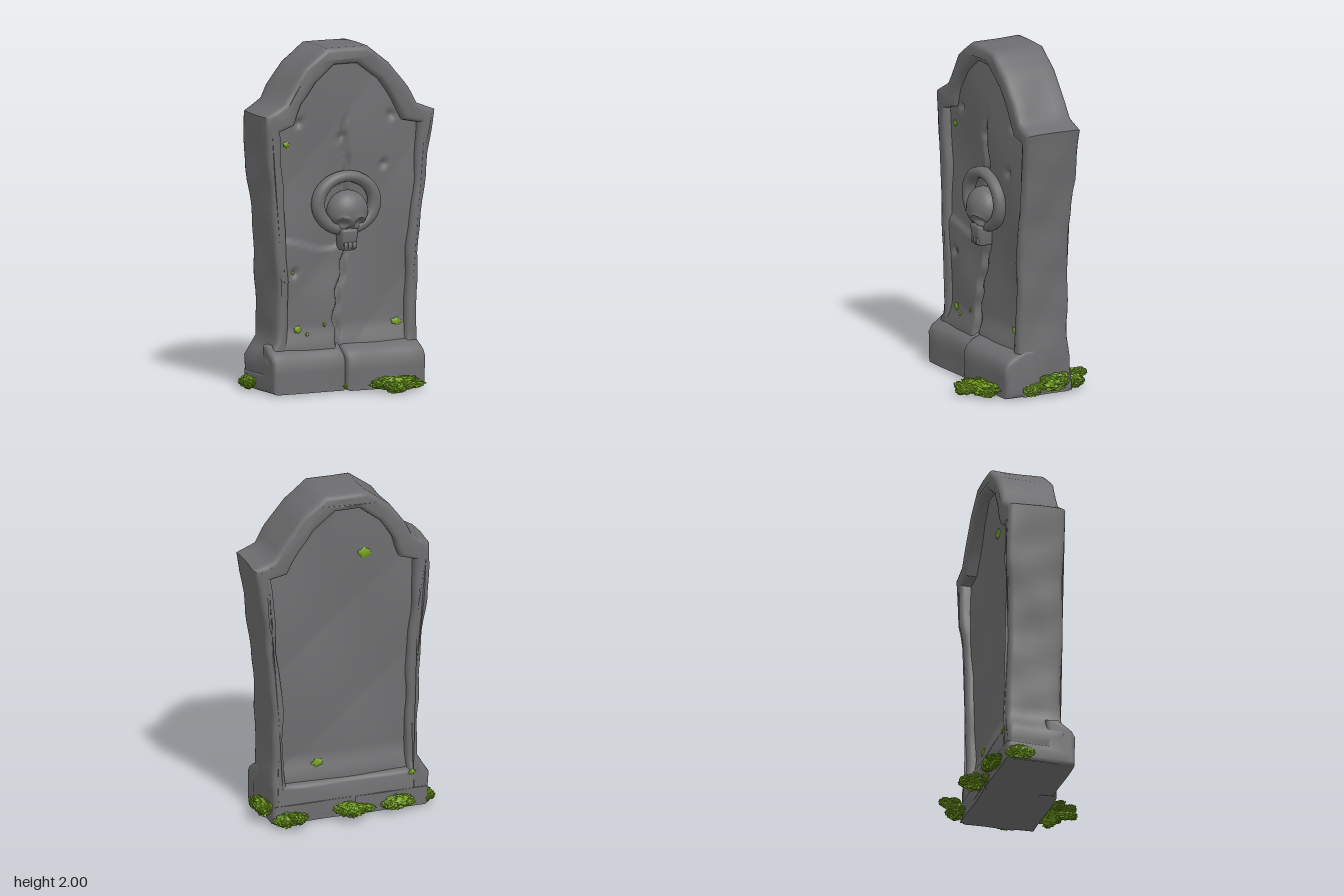
import * as THREE from 'three';
import { toCreasedNormals, mergeVertices, mergeGeometries } from 'three/addons/utils/BufferGeometryUtils.js';
import { RoundedBoxGeometry } from 'three/addons/geometries/RoundedBoxGeometry.js';

const stone = new THREE.MeshStandardMaterial({ color: 0x6e6e70 });
stone.name = 'grey stone';
const moss = new THREE.MeshStandardMaterial({ color: 0x74a01f });
moss.name = 'green moss';

const { smoothstep, lerp } = THREE.MathUtils;
const bump = (d, w) => Math.exp(-(d * d) / (w * w));

// Move every vertex by a rule
function warp(geo, rule) {
  const p = geo.attributes.position, v = new THREE.Vector3();
  for (let i = 0; i < p.count; i++) {
    rule(v.fromBufferAttribute(p, i));
    p.setXYZ(i, v.x, v.y, v.z);
  }
  return geo;
}

function mesh(name, geo, mat, crease = 0.7) {
  const m = new THREE.Mesh(toCreasedNormals(geo, crease), mat);
  m.name = name;
  return m;
}

// Gentle hand-cut unevenness
function weather(v, a = 0.005) {
  const { x, y, z } = v;
  v.x += a * Math.sin(11 * y + 17 * z) + a * 0.6 * Math.sin(23 * y - 9 * z);
  v.z += a * 0.8 * Math.sin(13 * x + 9 * y);
}

// Closed outline split into short edges
function divided(pts, step = 0.07) {
  const out = [];
  pts.forEach(([x, y], i) => {
    const [x2, y2] = pts[(i + 1) % pts.length];
    const n = Math.max(1, Math.round(Math.hypot(x2 - x, y2 - y) / step));
    for (let k = 0; k < n; k++) out.push(new THREE.Vector2(lerp(x, x2, k / n), lerp(y, y2, k / n)));
  });
  return out;
}

// Piecewise linear lookup in rows of [key, value...]
function sample(rows, key, col) {
  let i = 0;
  while (i < rows.length - 2 && key > rows[i + 1][0]) i++;
  const a = rows[i], b = rows[i + 1];
  return lerp(a[col], b[col], THREE.MathUtils.clamp((key - a[0]) / (b[0] - a[0]), 0, 1));
}

const OUTLINE = [[-0.49, 0.01], [0.45, 0.01], [0.455, 0.2], [0.44, 0.4], [0.45, 0.7], [0.47, 1.0], [0.52, 1.35],
  [0.56, 1.6], [0.44, 1.645], [0.38, 1.745], [0.27, 1.89], [0.13, 1.998], [-0.13, 1.998], [-0.27, 1.895],
  [-0.37, 1.76], [-0.41, 1.69], [-0.525, 1.62], [-0.51, 1.4], [-0.49, 1.15], [-0.46, 0.8], [-0.45, 0.5],
  [-0.45, 0.31], [-0.51, 0.2]];
const OPENING = [[-0.38, 0.24], [-0.385, 0.8], [-0.41, 1.2], [-0.43, 1.53], [-0.34, 1.56], [-0.3, 1.68], [-0.21, 1.8],
  [-0.08, 1.9], [0.07, 1.9], [0.2, 1.8], [0.29, 1.67], [0.36, 1.55], [0.46, 1.53], [0.43, 1.2], [0.385, 0.8], [0.37, 0.24]];
const PANEL_EDGES = [[0.18, -0.42, 0.41], [0.8, -0.42, 0.42], [1.54, -0.46, 0.49], [1.59, -0.45, 0.46],
  [1.64, -0.37, 0.39], [1.75, -0.32, 0.33], [1.94, -0.16, 0.16]];
const CRACK = [[0.25, -0.06], [0.4, -0.075], [0.55, -0.06], [0.65, -0.035], [0.8, 0], [1.2, -0.01],
  [1.35, 0.01], [1.45, -0.02], [1.6, 0]];

// Depth of the sunken faces
function frontZ(x, y) {
  let z = 0.064 + 0.008 * Math.sin(6 * x + 5 * y) + 0.007 * Math.abs(Math.sin(5 * x - 4.5 * y + 1));
  const cx = sample(CRACK, y, 1) + 0.008 * Math.sin(40 * y);
  z += 0.016 * smoothstep(0.87 - y + 0.03 * Math.sin(12 * x), 0, 0.025) * smoothstep(cx - x, -0.01, 0.02);
  z -= 0.012 * bump(Math.hypot(x + 0.14, y - 0.72), 0.13);
  z -= 0.028 * bump(x - cx, 0.014) * (1 - smoothstep(y, 1.45, 1.65));
  z += 0.03 * (1 - smoothstep(y, 0.24, 0.4));
  for (const [dx, dy] of [[-0.3, 1.57], [0.29, 1.58], [-0.03, 1.47], [-0.34, 0.7], [0.24, 1.3]])
    z -= 0.025 * bump(Math.hypot(x - dx, y - dy), 0.022);
  return z;
}
const backZ = (x, y) => -0.165 + 0.008 * Math.sin(7 * x - 4 * y) - 0.008 * Math.abs(Math.sin(4 * x + 5 * y))
  - 0.03 * (1 - smoothstep(y, 0.24, 0.4));

function panel(name, depth, back) {
  const geo = new THREE.PlaneGeometry(1, 1, 64, 110);
  if (back) geo.rotateY(Math.PI);
  warp(geo, v => {
    v.y = lerp(0.18, 1.94, v.y + 0.5);
    v.x = lerp(sample(PANEL_EDGES, v.y, 1), sample(PANEL_EDGES, v.y, 2), v.x + 0.5);
    v.z = depth(v.x, v.y);
  });
  geo.computeVertexNormals();
  const m = new THREE.Mesh(geo, stone);
  m.name = name;
  return m;
}

// Rounded border running round both sunken faces
function frame() {
  const shape = new THREE.Shape(divided(OUTLINE));
  shape.holes.push(new THREE.Path(divided(OPENING)));
  const b = 0.028;
  const geo = new THREE.ExtrudeGeometry(shape, { depth: 0.345 - 2 * b, steps: 5, bevelSize: b, bevelThickness: b,
    bevelOffset: -b, bevelSegments: 3 });
  geo.translate(0, 0, -0.235 + b);
  warp(geo, v => {
    if (v.z < -0.1) v.z += 0.02 * smoothstep(v.y, 0.2, 0.35) * (1 - smoothstep(v.y, 1.15, 1.3));
    weather(v);
  });
  return mesh('frame', geo, stone, 0.8);
}

// Half of the stepped foot, from x0 to x1, reaching forward to zf
function plinth(name, x0, x1, zf) {
  const b = 0.022;
  const shape = new THREE.Shape(divided([[-0.238, 0.01], [zf, 0.01], [zf, 0.19], [zf - 0.02, 0.225],
    [zf - 0.055, 0.25], [0.07, 0.285], [0.0, 0.285], [0.0, 0.12], [-0.238, 0.12]]));
  const geo = new THREE.ExtrudeGeometry(shape, { depth: x1 - x0 - 2 * b, steps: 6, bevelSize: b, bevelThickness: b,
    bevelOffset: -b, bevelSegments: 3 });
  geo.rotateY(-Math.PI / 2).translate(x1 - b, 0, 0);
  warp(geo, v => weather(v, 0.004));
  return mesh(name, geo, stone, 0.8);
}

// Carved skull inside a raised hood
function skull() {
  const g = new THREE.Group();
  g.name = 'skullCarving';
  const hood = new THREE.TorusGeometry(0.18, 0.04, 12, 48);
  warp(hood, v => { v.y *= 0.86; v.z *= 1 + 0.25 * v.y; });
  hood.translate(-0.005, 1.09, 0.086);
  g.add(mesh('hood', hood, stone, 1.2));

  const head = new THREE.SphereGeometry(1, 56, 44);
  warp(head, v => {
    const low = smoothstep(-v.y, 0.1, 1);
    v.set(v.x * 0.125 * (1 - 0.25 * low), 1.04 + v.y * 0.125, 0.09 + v.z * (0.095 - 0.02 * low));
    if (v.z < 0.1) return;
    for (const ex of [-0.058, 0.05]) {
      const d = Math.hypot((v.x - ex) / 1.25, v.y - 0.98);
      v.z += 0.012 * bump(d - 0.034, 0.01) - 0.03 * bump(d, 0.024);
    }
    v.z -= 0.02 * bump(Math.hypot(v.x + 0.005, (v.y - 0.94) / 1.4), 0.012);
  });
  g.add(mesh('cranium', mergeVertices(head), stone, 1.2));

  const jaw = new RoundedBoxGeometry(0.1, 0.13, 0.1, 3, 0.02);
  warp(jaw, v => { v.x *= 1 + 1.5 * v.y; v.z += 0.1 * v.y; });
  jaw.translate(-0.008, 0.882, 0.1);
  g.add(mesh('jaw', jaw, stone));
  for (const x of [-0.036, -0.008, 0.02]) {
    const tooth = new RoundedBoxGeometry(0.025, 0.04, 0.02, 2, 0.008);
    tooth.translate(x, 0.85, 0.143);
    g.add(mesh('tooth', tooth, stone));
  }
  return g;
}

// Ragged moss built from rough overlapping lumps
let seed = 7;
const rand = () => (seed = (seed * 16807) % 2147483647) / 2147483647;

function mossClump(name, [x, y, z], [sx, sy, sz], lumps = 7) {
  const parts = [];
  for (let i = 0; i < lumps; i++) {
    const k = i === 0 ? 0.72 : 0.3 + 0.2 * rand(), r = i === 0 ? 0 : 1 - k, a = i * 2.4 + rand(), o = rand() * 9;
    const geo = new THREE.IcosahedronGeometry(1, 4);
    warp(geo, v => {
      const n = 1 + 0.16 * Math.sin(7 * v.x + o) * Math.sin(8 * v.y + o) + 0.12 * Math.sin(15 * v.z + 9 * v.x + o)
        + 0.07 * Math.sin(24 * v.y - 17 * v.x);
      v.multiplyScalar(n * k);
      v.set(x + (v.x + r * Math.cos(a)) * sx, y + (v.y + (rand.y || 0)) * sy, z + (v.z + r * Math.sin(a)) * sz);
      v.y = Math.max(v.y, 0.003);
    });
    geo.translate(0, (rand() - 0.6) * sy * 0.5, 0);
    warp(geo, v => { v.y = Math.max(v.y, 0); });
    parts.push(geo);
  }
  return mesh(name, mergeGeometries(parts), moss, 0.5);
}

// Thin moss stain on a face
function mossPatch(x, y, z, w, h) {
  const geo = new THREE.IcosahedronGeometry(1, 3);
  warp(geo, v => {
    const n = 1 + 0.3 * Math.sin(5 * v.x + 40 * x) * Math.cos(4 * v.y + 9 * y);
    v.set(x + v.x * w * n, y + v.y * h * n, z + v.z * 0.009);
  });
  return mesh('mossPatch', geo, moss);
}

export function createModel() {
  const model = new THREE.Group();
  model.name = 'gravestone';
  model.add(frame(), panel('frontPanel', frontZ, false), panel('backPanel', backZ, true));
  model.add(plinth('plinthRight', -0.505, -0.042, 0.172), plinth('plinthLeft', -0.048, 0.453, 0.2), skull());

  // Moss round the foot
  model.add(
    mossClump('frontMoss', [0.24, 0.05, 0.25], [0.17, 0.06, 0.08], 9),
    mossClump('frontMossTip', [0.19, 0.04, 0.33], [0.08, 0.045, 0.07], 6),
    mossClump('leftMoss', [0.47, 0.09, -0.11], [0.065, 0.07, 0.1], 8),
    mossClump('leftMossLow', [0.46, 0.06, 0.03], [0.04, 0.05, 0.07], 6),
    mossClump('rightMoss', [-0.515, 0.055, -0.16], [0.045, 0.055, 0.095], 7),
    mossClump('backMossRight', [-0.305, 0.06, -0.27], [0.105, 0.055, 0.06], 7),
    mossClump('backMossMiddle', [0.0, 0.065, -0.29], [0.1, 0.06, 0.085], 8),
    mossClump('backMossMiddleSide', [-0.12, 0.04, -0.25], [0.05, 0.035, 0.025], 4),
    mossClump('backMossLeft', [0.39, 0.06, -0.28], [0.085, 0.055, 0.06], 7),
    mossClump('backMossLeftTip', [0.33, 0.08, -0.32], [0.06, 0.045, 0.075], 6),
    mossClump('crackMoss', [-0.045, 0.035, 0.175], [0.025, 0.02, 0.02], 3));

  // Stains on the sunken faces: x, y, half width, half height
  for (const [x, y, w, h] of [[-0.38, 1.45, 0.02, 0.018], [-0.32, 0.37, 0.022, 0.022], [-0.26, 0.34, 0.012, 0.01],
    [-0.34, 0.7, 0.01, 0.012], [-0.15, 0.39, 0.008, 0.012], [0.32, 0.375, 0.034, 0.022]])
    model.add(mossPatch(x, y, frontZ(x, y), w, h));
  for (const [x, y, w, h] of [[-0.13, 1.6, 0.04, 0.03], [0.16, 0.34, 0.035, 0.025]])
    model.add(mossPatch(x, y, backZ(x, y), w, h));
  model.add(mossPatch(-0.4, 0.22, -0.232, 0.022, 0.016));
  return model;
}
